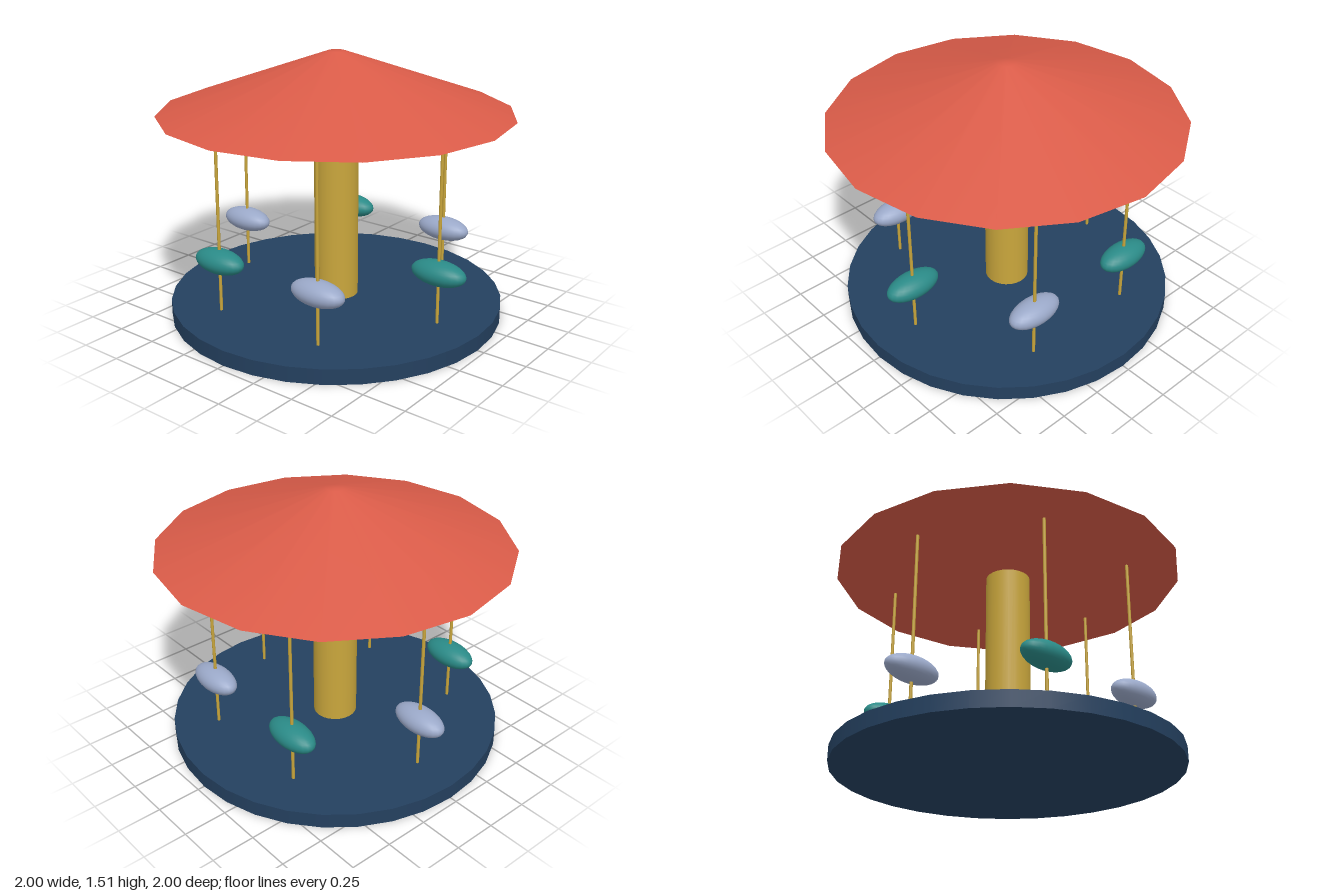
import * as THREE from 'three';

const mat = (name, color) => {
  const m = new THREE.MeshStandardMaterial({ color });
  m.name = name;
  return m;
};

export function createModel() {
  const red = mat('canopyRed', 0xd95b48);
  const gold = mat('gold', 0xc9a63c);
  const navy = mat('deckNavy', 0x24405f);
  const teal = mat('seatTeal', 0x2a8a87);
  const silver = mat('seatSilver', 0x9aa8c8);

  const root = new THREE.Group();
  root.name = 'carousel';
  const add = (name, geometry, material, x, y, z) => {
    const mesh = new THREE.Mesh(geometry, material);
    mesh.name = name;
    mesh.position.set(x, y, z);
    root.add(mesh);
    return mesh;
  };

  const deckTop = 0.087, eave = 1.175, peak = 1.515;
  const height = eave - deckTop, middle = (eave + deckTop) / 2;

  // Round deck and central column
  add('deck', new THREE.CylinderGeometry(0.96, 0.96, deckTop, 32), navy, 0, deckTop / 2, 0);
  add('column', new THREE.CylinderGeometry(0.127, 0.127, height, 24), gold, 0, middle, 0);

  // Sixteen-sided canopy with a small blunt tip, closed underneath
  const profile = [[1, eave], [0.05, peak], [0, peak]].map(([r, y]) => new THREE.Vector2(r, y));
  add('canopy', new THREE.LatheGeometry(profile, 16), red, 0, 0, 0);
  add('canopyUnderside', new THREE.CircleGeometry(1, 16).rotateX(Math.PI / 2), red, 0, eave, 0);

  // Six poles, each carrying an egg-shaped seat that points along z
  const poleGeometry = new THREE.CylinderGeometry(0.009, 0.009, height, 8);
  const seatGeometry = new THREE.SphereGeometry(1, 24, 16).scale(0.087, 0.07, 0.167);
  for (let i = 0; i < 6; i++) {
    const angle = (i * Math.PI) / 3;
    const x = 0.7 * Math.sin(angle), z = 0.7 * Math.cos(angle);
    add('pole' + (i + 1), poleGeometry, gold, x, middle, z);
    add('seat' + (i + 1), seatGeometry, i % 2 ? silver : teal, x, 0.383, z);
  }
  return root;
}
